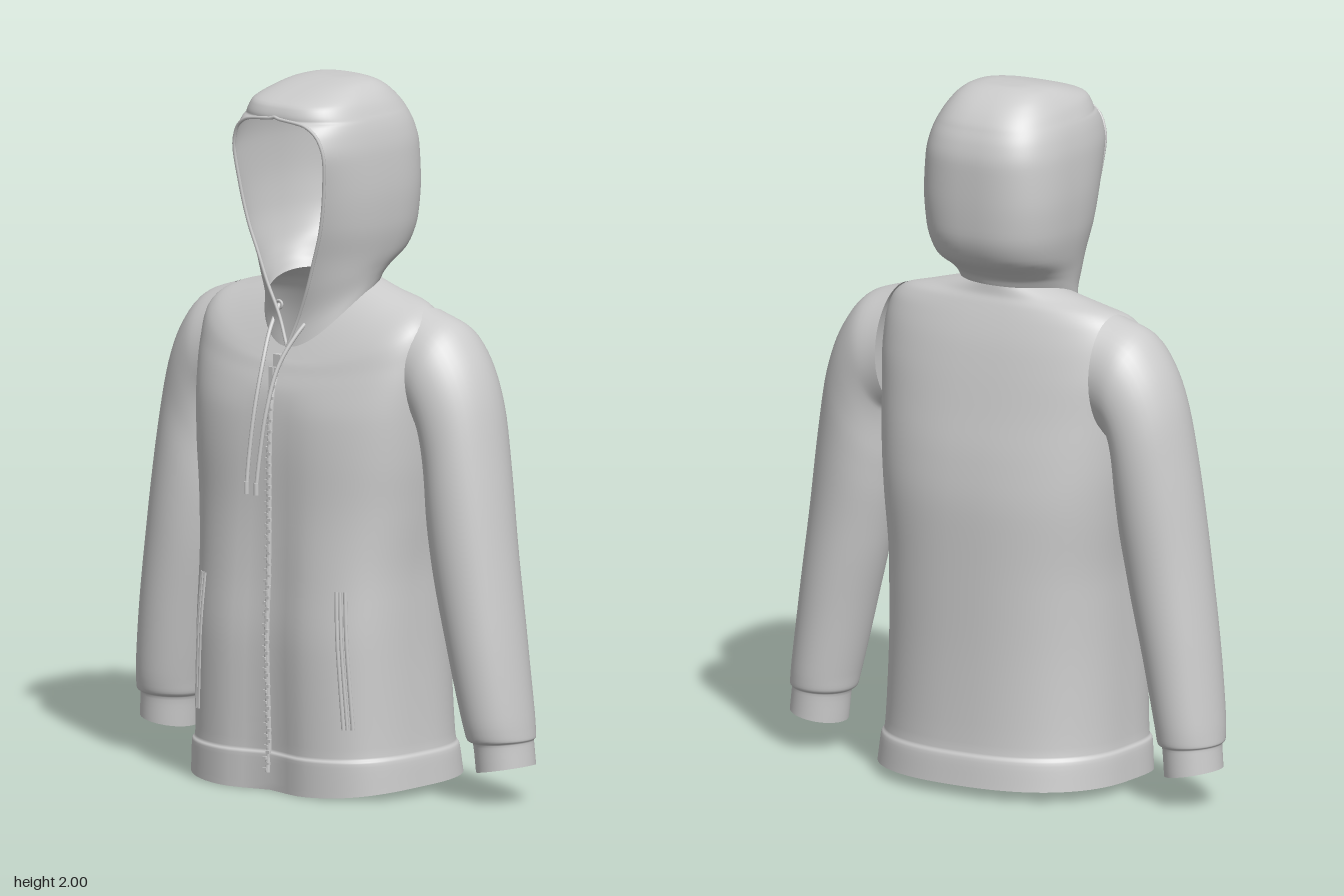
import * as THREE from 'three';
import { mergeVertices, mergeGeometries } from 'three/addons/utils/BufferGeometryUtils.js';

const cloth = new THREE.MeshStandardMaterial({ color: 0xcccccc, side: THREE.DoubleSide });

// Smooth monotone interpolation through a table of rows.
function sampleRows(rows, t) {
  const i = Math.min(Math.floor(t), rows.length - 2), f = t - i;
  const d = (k, c) => rows[k + 1][c] - rows[k][c];
  const slope = (k, c) => {
    if (k === 0) return d(0, c);
    if (k === rows.length - 1) return d(k - 1, c);
    const a = d(k - 1, c), b = d(k, c);
    return a * b <= 0 ? 0 : (2 * a * b) / (a + b);
  };
  return rows[0].map((_, c) => {
    const p = rows[i][c], q = rows[i + 1][c], f2 = f * f, f3 = f2 * f;
    return p * (2 * f3 - 3 * f2 + 1) + q * (3 * f2 - 2 * f3)
      + slope(i, c) * (f3 - 2 * f2 + f) + slope(i + 1, c) * (f3 - f2);
  });
}

// Skin a surface over rows; point(row, u) gives [x, y, z] for u in 0..1.
function loft(rows, point, around, steps) {
  const pos = [], index = [], n = (rows.length - 1) * steps;
  for (let j = 0; j <= n; j++) {
    const row = sampleRows(rows, j / steps);
    for (let i = 0; i <= around; i++) pos.push(...point(row, i / around));
  }
  for (let j = 0; j < n; j++) for (let i = 0; i < around; i++) {
    const a = j * (around + 1) + i, b = a + around + 1;
    index.push(a, a + 1, b + 1, a, b + 1, b);
  }
  let g = new THREE.BufferGeometry();
  g.setAttribute('position', new THREE.Float32BufferAttribute(pos, 3));
  g.setIndex(index);
  g = mergeVertices(g, 1e-5);
  g.computeVertexNormals();
  return g;
}

// Rounded body section: [yBack, yFront, halfWidth, zFront, zBack, squareFront, squareBack, opening, frontDip]
function bodyPoint([yb, yf, w, zf, zb, nf, nb, open, dip], u) {
  const start = Math.asin(Math.min(1, Math.pow(open / w, nf / 2)));
  const a = start + u * (2 * Math.PI - 2 * start);
  const s = Math.sin(a), c = Math.cos(a), n = c > 0 ? nf : nb, zc = (zf + zb) / 2;
  const x = w * Math.sign(s) * Math.pow(Math.abs(s), 2 / n);
  const depth = c > 0 ? (zf - zc) / Math.pow(Math.cos(start), 2 / nf) : zc - zb;
  let z = zc + depth * Math.sign(c) * Math.pow(Math.abs(c), 2 / n);
  if (c > 0) z -= dip * Math.exp(-((x / 0.09) ** 2));
  return [x, yb + (yf - yb) * Math.pow((1 + c) / 2, 3), z];
}

const torsoRows = [
  [0.03, 0.00, 0.380, 0.300, -0.308, 3.2, 2.4, 0, 0.04],
  [0.11, 0.10, 0.372, 0.302, -0.296, 3.2, 2.4, 0, 0.04],
  [0.125, 0.115, 0.364, 0.295, -0.287, 3.2, 2.4, 0, 0.04],
  [0.40, 0.40, 0.356, 0.300, -0.272, 3.1, 2.4, 0, 0.035],
  [0.60, 0.60, 0.357, 0.288, -0.268, 3.0, 2.4, 0, 0.03],
  [0.80, 0.80, 0.376, 0.275, -0.264, 2.8, 2.4, 0, 0.02],
  [0.95, 0.95, 0.393, 0.270, -0.246, 2.7, 2.4, 0, 0.015],
  [1.08, 1.06, 0.402, 0.260, -0.217, 2.6, 2.5, 0, 0.01],
  [1.20, 1.14, 0.408, 0.238, -0.188, 2.5, 2.6, 0, 0],
  [1.28, 1.18, 0.405, 0.222, -0.165, 2.4, 2.6, 0, 0],
  [1.34, 1.205, 0.392, 0.212, -0.142, 2.3, 2.6, 0, 0],
  [1.38, 1.22, 0.355, 0.204, -0.124, 2.2, 2.5, 0, 0],
  [1.405, 1.235, 0.265, 0.196, -0.112, 2.1, 2.3, 0, 0],
  [1.43, 1.25, 0.168, 0.188, -0.108, 2, 2.2, 0, 0],
];

const hoodRows = [
  [1.43, 1.25, 0.168, 0.188, -0.108, 2, 2.2, 0, 0],
  [1.45, 1.33, 0.173, 0.180, -0.116, 2, 2.3, 0.035, 0],
  [1.475, 1.42, 0.181, 0.186, -0.145, 2.1, 2.4, 0.075, 0],
  [1.52, 1.51, 0.196, 0.192, -0.205, 2.2, 2.6, 0.105, 0],
  [1.60, 1.60, 0.212, 0.200, -0.233, 2.4, 2.7, 0.135, 0],
  [1.70, 1.70, 0.218, 0.210, -0.237, 2.5, 2.8, 0.155, 0],
  [1.80, 1.80, 0.214, 0.222, -0.235, 2.6, 2.8, 0.166, 0],
  [1.86, 1.86, 0.204, 0.230, -0.222, 2.7, 2.8, 0.150, 0],
  [1.895, 1.895, 0.193, 0.237, -0.206, 2.8, 2.8, 0.105, 0],
  [1.91, 1.91, 0.186, 0.240, -0.198, 2.8, 2.8, 0, 0],
  [1.94, 1.94, 0.170, 0.228, -0.174, 2.8, 2.8, 0, 0],
  [1.97, 1.97, 0.143, 0.150, -0.138, 2.8, 2.8, 0, 0],
  [1.99, 1.99, 0.110, 0.070, -0.100, 2.6, 2.6, 0, 0],
  [1.999, 1.999, 0.060, 0.010, -0.065, 2.3, 2.3, 0, 0],
  [2.0, 2.0, 0.001, -0.027, -0.029, 2, 2, 0, 0],
];

// Sleeve section: [innerX, innerY, outerX, outerY, zCentre, halfDepth]
const sleeveRows = [
  [0.36, 1.03, 0.35, 1.372, -0.02, 0.140],
  [0.385, 1.00, 0.445, 1.338, -0.02, 0.150],
  [0.387, 0.95, 0.515, 1.260, -0.02, 0.147],
  [0.386, 0.88, 0.567, 1.140, -0.02, 0.142],
  [0.392, 0.78, 0.605, 0.950, -0.015, 0.138],
  [0.418, 0.62, 0.642, 0.700, -0.01, 0.130],
  [0.465, 0.42, 0.676, 0.450, -0.012, 0.122],
  [0.510, 0.22, 0.701, 0.230, -0.02, 0.110],
  [0.520, 0.175, 0.704, 0.185, -0.024, 0.102],
  [0.533, 0.165, 0.698, 0.175, -0.027, 0.090],
  [0.542, 0.080, 0.704, 0.110, -0.030, 0.088],
];
function sleevePoint([ix, iy, ox, oy, zc, d], u) {
  const c = Math.cos(u * 2 * Math.PI), s = Math.sin(u * 2 * Math.PI);
  return [(ix + ox) / 2 + c * (ox - ix) / 2, (iy + oy) / 2 + c * (oy - iy) / 2, zc + d * s];
}

export function createModel() {
  const model = new THREE.Group();
  model.name = 'hoodedJacket';
  const add = (name, geometry) => {
    const mesh = new THREE.Mesh(geometry, cloth);
    mesh.name = name;
    model.add(mesh);
    return mesh;
  };
  const tube = (pts, r, segs = 48) => new THREE.TubeGeometry(
    new THREE.CatmullRomCurve3(pts.map(p => new THREE.Vector3(...p))), segs, r, 8);

  // Body, hood and sleeves
  const torso = add('torso', loft(torsoRows, bodyPoint, 72, 5));
  add('hood', loft(hoodRows, bodyPoint, 72, 5));
  const sleeve = loft(sleeveRows, sleevePoint, 40, 5);
  add('leftSleeve', sleeve);
  add('rightSleeve', sleeve).scale.x = -1;

  // Rolled edge round the face opening
  const rim = [];
  for (let t = 0; t <= 9; t += 0.25) rim.push(bodyPoint(sampleRows(hoodRows, t), 0));
  const otherSide = rim.slice(0, -1).reverse().map(([x, y, z]) => [-x, y, z]);
  add('hoodRim', tube([...rim, ...otherSide], 0.005, 160));

  // Finds the front of the torso at a given x and y
  torso.updateMatrixWorld();
  const ray = new THREE.Raycaster();
  const onFront = (x, y, lift = 0) => {
    ray.set(new THREE.Vector3(x, y, 1), new THREE.Vector3(0, 0, -1));
    const hit = ray.intersectObject(torso)[0];
    return [x, y, (hit ? hit.point.z : 0.2) + lift];
  };

  // Zip with teeth, slider and pull
  const zipX = -0.006, zipLine = [], teeth = [];
  for (let y = 0.05; y <= 1.24; y += 0.07) zipLine.push(onFront(zipX, y));
  add('zipTape', tube(zipLine, 0.008, 80));
  for (let k = 0; k < 75; k++) {
    const tooth = new THREE.BoxGeometry(0.013, 0.008, 0.008);
    teeth.push(tooth.translate(...onFront(zipX + (k % 2 ? 0.004 : -0.004), 0.06 + k * 0.0157, 0.006)));
  }
  add('zipTeeth', mergeGeometries(teeth));
  add('zipSlider', new THREE.BoxGeometry(0.026, 0.035, 0.018).translate(...onFront(zipX, 1.215, 0.01)));
  add('zipPull', new THREE.BoxGeometry(0.014, 0.07, 0.006).translate(...onFront(zipX, 1.165, 0.02)));

  // Pockets: a zip line between two raised welts
  for (const side of [1, -1]) {
    const name = side > 0 ? 'leftPocket' : 'rightPocket';
    const line = (dx, r, lift) => {
      const pts = [];
      for (let k = 0; k <= 8; k++) pts.push(onFront(side * (0.253 + 0.025 * k / 8 + dx), 0.59 - 0.39 * k / 8, lift));
      return tube(pts, r);
    };
    add(name + 'Zip', line(0, 0.005, 0.002));
    for (const dx of [-0.011, 0.011]) add(name + 'Welt', line(dx, 0.006, -0.001));
  }

  // Drawcords hanging from the neck, with end tips
  const cords = [
    [[-0.075, 1.355, 0.135], [-0.058, 1.29, 0.195], [-0.042, 1.2, 0.245], [-0.04, 1.08, 0.28], [-0.045, 0.95, 0.298], [-0.046, 0.86, 0.308]],
    [[0.065, 1.355, 0.135], [0.042, 1.29, 0.195], [0.016, 1.2, 0.245], [0.004, 1.08, 0.28], [-0.006, 0.95, 0.298], [-0.01, 0.86, 0.308]],
  ];
  for (const pts of cords) {
    add('drawcord', tube(pts, 0.006));
    const [x, y, z] = pts[pts.length - 1];
    add('cordTip', new THREE.CylinderGeometry(0.0075, 0.0075, 0.035, 10).translate(x, y, z));
    add('cordEyelet', new THREE.TorusGeometry(0.011, 0.004, 8, 16).translate(...pts[0]));
  }
  return model;
}
